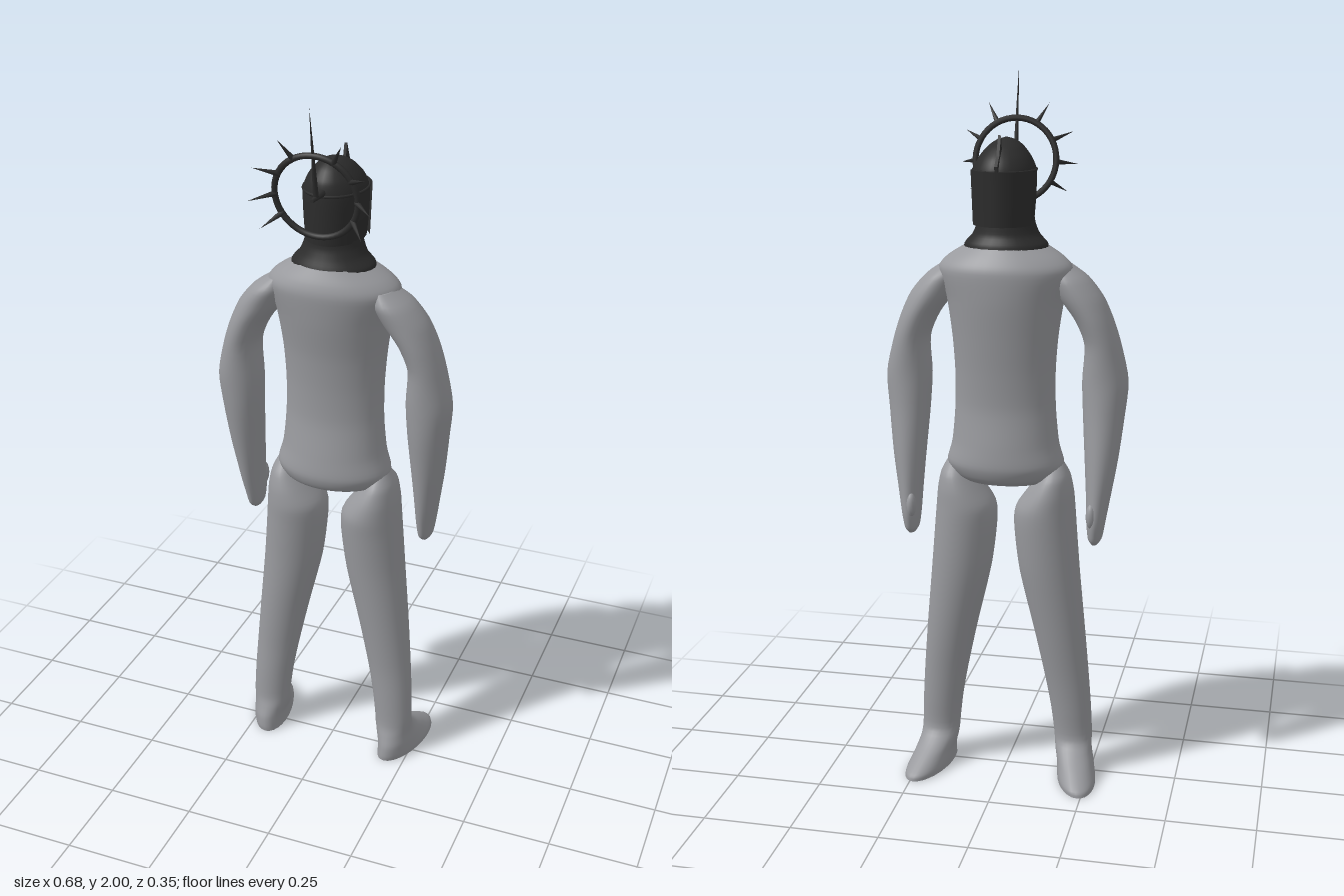
import * as THREE from 'three';

const bodyGrey = new THREE.MeshStandardMaterial({ color: 0x999a9e });
bodyGrey.name = 'bodyGrey';
const darkMetal = new THREE.MeshStandardMaterial({ color: 0x2c2c2c, side: THREE.DoubleSide });
darkMetal.name = 'darkMetal';

// Smooth loft through horizontal ellipses; each row is [y, xMin, xMax, zMin, zMax], rising in y.
function loft(rows, { side = 1, steps = 36, segs = 28, capBottom = true, capTop = true, warp } = {}) {
  const centres = new THREE.CatmullRomCurve3(rows.map(([y, a, b, c, d]) =>
    new THREE.Vector3(side * (a + b) / 2, y, (c + d) / 2)), false, 'catmullrom', 0.4);
  const radii = new THREE.CatmullRomCurve3(rows.map(([, a, b, c, d]) =>
    new THREE.Vector3((b - a) / 2, 0, (d - c) / 2)), false, 'catmullrom', 0.4);
  const pos = [], index = [];
  const ring = (t) => {
    const c = centres.getPoint(t), r = radii.getPoint(t);
    for (let j = 0; j < segs; j++) {
      const a = j / segs * Math.PI * 2;
      const p = new THREE.Vector3(c.x + r.x * Math.cos(a), c.y, c.z + r.z * Math.sin(a));
      if (warp) warp(p);
      pos.push(p.x, p.y, p.z);
    }
    return c;
  };
  for (let i = 0; i <= steps; i++) ring(i / steps);
  for (let i = 0; i < steps; i++) {
    for (let j = 0; j < segs; j++) {
      const a = i * segs + j, b = i * segs + (j + 1) % segs;
      index.push(a, a + segs, b, b, a + segs, b + segs);
    }
  }
  // flat end caps on their own vertices
  for (const [t, wanted] of [[0, capBottom], [1, capTop]]) {
    if (!wanted) continue;
    const first = pos.length / 3;
    const c = ring(t);
    pos.push(c.x, c.y, c.z);
    for (let j = 0; j < segs; j++) {
      const a = first + j, b = first + (j + 1) % segs, m = first + segs;
      if (t) index.push(m, b, a); else index.push(m, a, b);
    }
  }
  const g = new THREE.BufferGeometry();
  g.setAttribute('position', new THREE.Float32BufferAttribute(pos, 3));
  g.setIndex(index);
  g.computeVertexNormals();
  return g;
}

function add(parent, name, geometry, material) {
  const mesh = new THREE.Mesh(geometry, material);
  mesh.name = name;
  parent.add(mesh);
  return mesh;
}

const sym = (y, rx, zMin, zMax) => [y, -rx, rx, zMin, zMax];

function buildHelmet() {
  const helmet = new THREE.Group();
  helmet.name = 'helmet';
  add(helmet, 'dome', loft([
    sym(1.615, 0.078, -0.122, 0.078), sym(1.68, 0.083, -0.127, 0.08), sym(1.745, 0.084, -0.125, 0.08),
    sym(1.78, 0.07, -0.108, 0.073), sym(1.808, 0.048, -0.075, 0.053), sym(1.824, 0.026, -0.04, 0.03),
    sym(1.831, 0.004, -0.01, 0.004),
  ], { capBottom: false }), darkMetal);

  // curved face plate wrapping the front
  const visor = add(helmet, 'visor',
    new THREE.CylinderGeometry(1, 0.94, 0.145, 24, 1, true, Math.PI - 1.2, 2.4), darkMetal);
  visor.scale.set(0.09, 1, 0.108);
  visor.position.set(0, 1.678, -0.027);

  // brow band
  const band = add(helmet, 'browBand', new THREE.TorusGeometry(1, 0.04, 6, 40), darkMetal);
  band.rotation.x = Math.PI / 2;
  band.scale.set(0.084, 0.103, 0.1);
  band.position.set(0, 1.748, -0.024);

  // upright crest fin
  const fin = new THREE.Shape([[0.07, 1.77], [0.09, 1.842], [0.112, 1.79], [0.137, 1.765], [0.135, 1.73], [0.1, 1.73]]
    .map(([x, y]) => new THREE.Vector2(x, y)));
  const finGeometry = new THREE.ExtrudeGeometry(fin, { depth: 0.008, bevelEnabled: false });
  finGeometry.translate(0, 0, -0.004);
  finGeometry.rotateY(Math.PI / 2);
  add(helmet, 'crestFin', finGeometry, darkMetal);
  return helmet;
}

function buildHalo() {
  const halo = new THREE.Group();
  halo.name = 'halo';
  add(halo, 'haloRing', new THREE.TorusGeometry(0.113, 0.0085, 8, 48), darkMetal);

  const spike = (angle, tip, lean, radius, start) => {
    const from = new THREE.Vector3(Math.sin(angle) * start, Math.cos(angle) * start, 0);
    const to = new THREE.Vector3(Math.sin(angle) * tip, Math.cos(angle) * tip, lean);
    const dir = to.clone().sub(from);
    const mesh = add(halo, 'haloSpike', new THREE.ConeGeometry(radius, dir.length(), 8), darkMetal);
    mesh.position.copy(from).add(to).multiplyScalar(0.5);
    mesh.quaternion.setFromUnitVectors(new THREE.Vector3(0, 1, 0), dir.normalize());
  };
  spike(0, 0.242, 0, 0.008, 0);
  for (const s of [-1, 1]) {
    spike(s * 0.5, 0.178, 0.02, 0.008, 0.11);
    spike(s * 1.07, 0.172, 0.042, 0.008, 0.11);
    spike(s * 1.6, 0.165, 0.057, 0.008, 0.11);
    spike(s * 2.1, 0.16, 0.055, 0.008, 0.11);
  }
  halo.position.set(0, 1.76, 0.118);
  halo.rotation.x = 0.165;
  return halo;
}

export function createModel() {
  const model = new THREE.Group();
  model.name = 'armouredFigure';

  add(model, 'torso', loft([
    sym(0.888, 0.115, -0.095, 0.06), sym(0.905, 0.145, -0.115, 0.09), sym(0.94, 0.165, -0.127, 0.102),
    sym(1.0, 0.15, -0.123, 0.095), sym(1.1, 0.141, -0.112, 0.081), sym(1.2, 0.14, -0.117, 0.082),
    sym(1.3, 0.147, -0.127, 0.091), sym(1.4, 0.162, -0.137, 0.108), sym(1.48, 0.185, -0.138, 0.117),
    sym(1.515, 0.16, -0.122, 0.11), sym(1.552, 0.1, -0.092, 0.092),
  ], { steps: 50, segs: 36 }), bodyGrey);

  for (const side of [-1, 1]) {
    const label = side > 0 ? 'left' : 'right';

    // arm from shoulder to rounded hand
    add(model, label + 'Arm', loft([
      [0.728, 0.252, 0.272, -0.08, -0.035], [0.745, 0.243, 0.282, -0.095, -0.015],
      [0.79, 0.238, 0.29, -0.104, 0.0], [0.85, 0.235, 0.3, -0.1, 0.015], [0.96, 0.227, 0.318, -0.09, 0.035],
      [1.08, 0.218, 0.332, -0.076, 0.054], [1.18, 0.213, 0.34, -0.07, 0.063], [1.28, 0.218, 0.318, -0.073, 0.068],
      [1.35, 0.19, 0.295, -0.078, 0.074], [1.41, 0.145, 0.267, -0.078, 0.078],
      [1.46, 0.12, 0.225, -0.07, 0.08], [1.495, 0.12, 0.175, -0.04, 0.06],
    ], { side, steps: 44 }), bodyGrey);

    // thumb
    const thumb = add(model, label + 'Thumb', new THREE.SphereGeometry(1, 14, 10), bodyGrey);
    thumb.scale.set(0.014, 0.035, 0.017);
    thumb.position.set(side * 0.255, 0.815, -0.092);

    // leg and foot, toes turned slightly outward
    add(model, label + 'Leg', loft([
      [0, 0.158, 0.27, -0.178, 0.08], [0.015, 0.158, 0.27, -0.172, 0.081], [0.045, 0.157, 0.264, -0.125, 0.077],
      [0.075, 0.15, 0.257, -0.078, 0.066], [0.11, 0.144, 0.254, -0.045, 0.056], [0.2, 0.133, 0.25, -0.05, 0.054],
      [0.3, 0.115, 0.243, -0.06, 0.053], [0.44, 0.085, 0.231, -0.078, 0.06], [0.62, 0.043, 0.214, -0.097, 0.07],
      [0.75, 0.027, 0.203, -0.105, 0.08], [0.81, 0.03, 0.198, -0.106, 0.084],
      [0.86, 0.062, 0.193, -0.1, 0.077], [0.905, 0.095, 0.183, -0.085, 0.06], [0.94, 0.115, 0.165, -0.05, 0.03],
    ], {
      side, steps: 52,
      warp: (p) => { p.x -= side * 0.18 * (p.z + 0.03) * Math.max(0, 1 - p.y / 0.12); },
    }), bodyGrey);
  }

  // neck and jaw under the helmet
  add(model, 'neck', new THREE.CylinderGeometry(0.055, 0.06, 0.12, 20), bodyGrey).position.set(0, 1.59, -0.01);
  const jaw = add(model, 'jaw', new THREE.SphereGeometry(1, 20, 14), bodyGrey);
  jaw.scale.set(0.068, 0.055, 0.085);
  jaw.position.set(0, 1.663, -0.028);

  add(model, 'collar', loft([
    sym(1.541, 0.116, -0.1, 0.09), sym(1.553, 0.112, -0.097, 0.087), sym(1.575, 0.092, -0.086, 0.077),
    sym(1.6, 0.081, -0.083, 0.068), sym(1.625, 0.076, -0.08, 0.066),
  ], { steps: 14, capBottom: false, capTop: false }), darkMetal);

  model.add(buildHelmet(), buildHalo());

  // bracket joining halo to helmet
  const bracket = add(model, 'haloBracket', new THREE.CylinderGeometry(0.005, 0.011, 0.08, 8), darkMetal);
  bracket.rotation.x = Math.PI / 2;
  bracket.position.set(0, 1.757, 0.105);
  return model;
}
